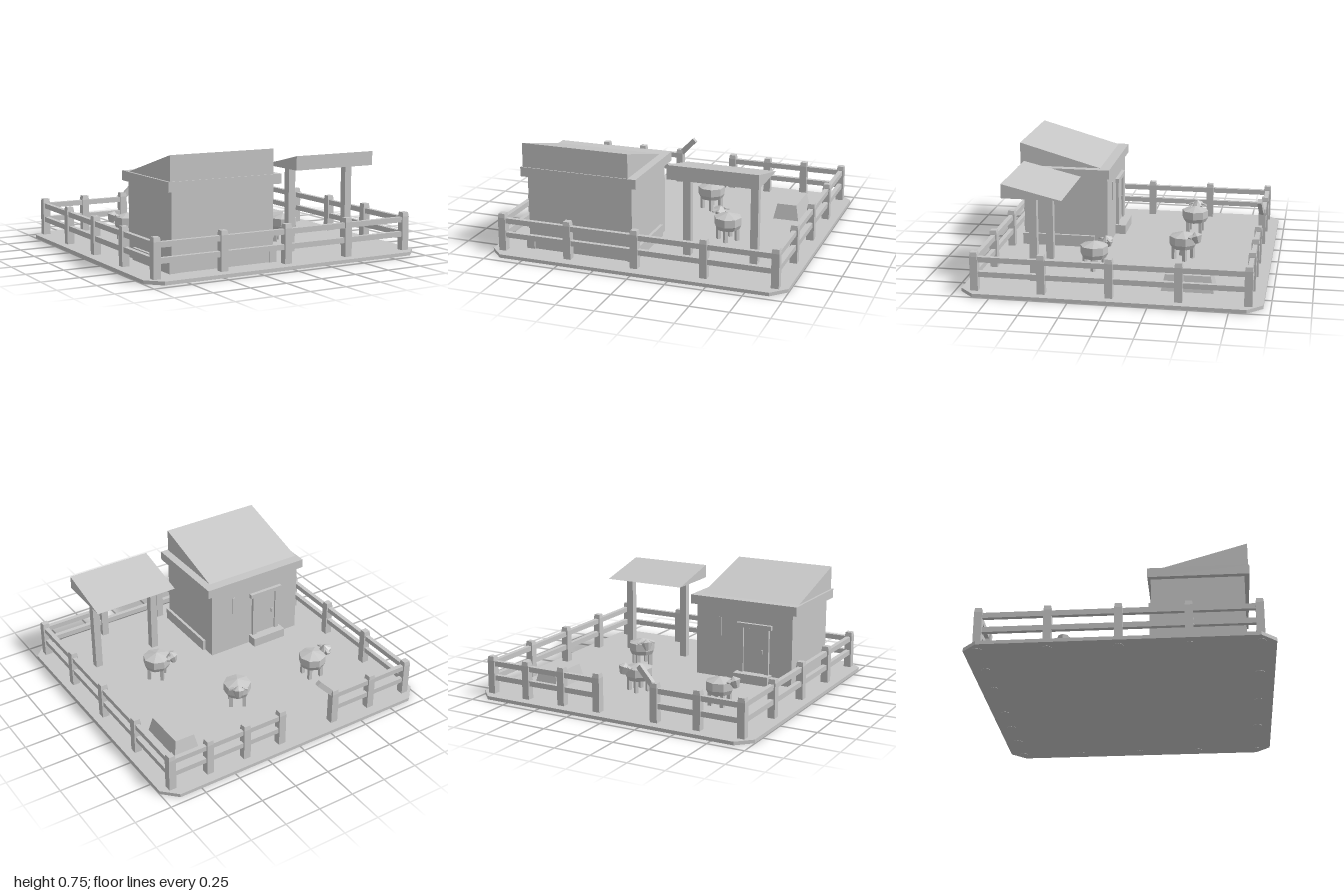
import * as THREE from 'three';

const grey = new THREE.MeshStandardMaterial({ color: 0xc6c6c6, flatShading: true });
grey.name = 'plain grey';

function add(parent, name, geometry, x = 0, y = 0, z = 0) {
  const mesh = new THREE.Mesh(geometry, grey);
  mesh.name = name;
  mesh.position.set(x, y, z);
  parent.add(mesh);
  return mesh;
}

// Box given by its limits on each axis
function block(parent, name, x0, x1, y0, y1, z0, z1) {
  return add(parent, name, new THREE.BoxGeometry(x1 - x0, y1 - y0, z1 - z0),
    (x0 + x1) / 2, (y0 + y1) / 2, (z0 + z1) / 2);
}

// Side profile of [z, y] points swept along x
function prism(parent, name, points, x0, x1) {
  const shape = new THREE.Shape(points.map(p => new THREE.Vector2(...p)));
  const geometry = new THREE.ExtrudeGeometry(shape, { depth: x1 - x0, bevelEnabled: false });
  geometry.rotateY(-Math.PI / 2);
  return add(parent, name, geometry, x1);
}

// Box with a narrower top
function taperedBox(w, h, d, topW, topD) {
  const geometry = new THREE.BoxGeometry(w, h, d);
  const p = geometry.attributes.position;
  for (let i = 0; i < p.count; i++) {
    if (p.getY(i) > 0) p.setXYZ(i, p.getX(i) * topW / w, p.getY(i), p.getZ(i) * topD / d);
  }
  geometry.computeVertexNormals();
  return geometry;
}

function group(parent, name) {
  const g = new THREE.Group();
  g.name = name;
  parent.add(g);
  return g;
}

const TOP = 0.025; // ground level

function buildGround(root) {
  const x = 1, z = 0.955, c = 0.095;
  const shape = new THREE.Shape([
    [-x + c, -z], [x - c, -z], [x, -z + c], [x, z - c],
    [x - c, z], [-x + c, z], [-x, z - c], [-x, -z + c],
  ].map(p => new THREE.Vector2(...p)));
  const geometry = new THREE.ExtrudeGeometry(shape, { depth: TOP - 0.002, bevelEnabled: false });
  geometry.rotateX(-Math.PI / 2);
  add(root, 'ground', geometry, 0, 0.002, 0);
}

function buildFence(root) {
  const fence = group(root, 'fence');
  const front = 0.86, back = -0.865, side = 0.92;
  const posts = [];
  for (const x of [-0.92, -0.46, 0, 0.46, 0.92]) posts.push([x, front]);
  for (const z of [-0.435, 0, 0.43]) posts.push([-side, z], [side, z]);
  for (const x of [-0.92, -0.62, -0.32, 0.1, 0.37, 0.645, 0.92]) posts.push([x, back]);
  for (const [x, z] of posts) {
    block(fence, 'fencePost', x - 0.025, x + 0.025, TOP, 0.25, z - 0.025, z + 0.025);
    add(fence, 'postCap', taperedBox(0.05, 0.028, 0.05, 0.042, 0.042), x, 0.264, z);
    add(fence, 'postFoot', new THREE.CylinderGeometry(0.03, 0.03, 0.01, 8), x, 0.005, z);
  }
  for (const y of [0.115, 0.212]) {
    const h = 0.035, t = 0.015;
    block(fence, 'frontRail', -side, side, y, y + h, front - t, front + t);
    block(fence, 'backRail', -side, -0.32, y, y + h, back - t, back + t);
    block(fence, 'backRail', 0.1, side, y, y + h, back - t, back + t);
    for (const s of [-side, side]) block(fence, 'sideRail', s - t, s + t, y, y + h, back, front);
  }
  // Snapped rail beside the gap
  const broken = add(fence, 'brokenRail', new THREE.BoxGeometry(0.19, 0.036, 0.03), -0.265, 0.297, -0.857);
  broken.rotation.set(0, -0.1, 0.8);
}

function buildHouse(root) {
  const house = group(root, 'house');
  block(house, 'walls', -0.77, -0.05, TOP, 0.55, 0.19, 0.78);
  block(house, 'plinth', -0.79, -0.735, TOP, 0.105, 0.28, 0.79);
  block(house, 'plinth', -0.08, -0.03, TOP, 0.105, 0.28, 0.79);
  block(house, 'eaves', -0.805, -0.01, 0.525, 0.588, 0.17, 0.812);
  prism(house, 'roof', [[0.235, 0.586], [0.805, 0.586], [0.805, 0.748]], -0.79, -0.065);

  // Doorway on the back wall
  block(house, 'door', -0.575, -0.415, 0.09, 0.4, 0.182, 0.192);
  for (const x of [-0.59, -0.4]) block(house, 'doorJamb', x - 0.015, x + 0.015, 0.09, 0.41, 0.17, 0.192);
  block(house, 'doorLintel', -0.625, -0.365, 0.405, 0.435, 0.165, 0.192);
  block(house, 'doorStep', -0.625, -0.365, TOP, 0.09, 0.117, 0.192);
  block(house, 'doorHandle', -0.56, -0.545, 0.23, 0.26, 0.172, 0.184);
  block(house, 'slitWindow', -0.24, -0.22, 0.32, 0.45, 0.182, 0.19);
}

function buildShelter(root) {
  const shelter = group(root, 'shelter');
  for (const x of [0.237, 0.687]) {
    block(shelter, 'shelterPost', x - 0.025, x + 0.025, TOP, 0.6, 0.505, 0.555);
  }
  prism(shelter, 'shelterRoof', [[0.33, 0.585], [0.72, 0.585], [0.72, 0.678]], 0.163, 0.76);
}

// Farm animal with its head towards local -z
function buildSheep(root, x, z, dx, dz) {
  const sheep = group(root, 'sheep');
  sheep.position.set(x, 0, z);
  sheep.rotation.y = Math.atan2(-dx, -dz);
  const lathe = pts => new THREE.LatheGeometry(pts.map(p => new THREE.Vector2(...p)), 8);
  add(sheep, 'body', lathe([[0, 0.105], [0.078, 0.105], [0.093, 0.135], [0.093, 0.188], [0, 0.217]]));
  for (const sx of [-1, 1]) {
    for (const sz of [-1, 1]) {
      const lx = sx * 0.045, lz = sz * 0.045;
      block(sheep, 'leg', lx - 0.012, lx + 0.012, TOP, 0.12, lz - 0.012, lz + 0.012);
    }
    const ear = add(sheep, 'ear', new THREE.BoxGeometry(0.035, 0.01, 0.022), sx * 0.045, 0.205, -0.095);
    ear.rotation.z = -sx * 0.3;
  }
  const head = add(sheep, 'head', lathe([[0, -0.045], [0.018, -0.045], [0.042, 0.005], [0, 0.035]]), 0, 0.2, -0.108);
  head.rotation.x = 0.35;
}

function buildTrough(root) {
  const trough = group(root, 'trough');
  add(trough, 'troughBody', taperedBox(0.18, 0.105, 0.335, 0.136, 0.29), 0.665, TOP + 0.0525, -0.468);
}

export function createModel() {
  const root = new THREE.Group();
  root.name = 'farmyard';
  buildGround(root);
  buildFence(root);
  buildHouse(root);
  buildShelter(root);
  buildTrough(root);
  buildSheep(root, -0.515, -0.37, -1, -0.05);
  buildSheep(root, 0.1, -0.36, 0.5, -0.9);
  buildSheep(root, 0.4, 0.195, -0.085, -0.075);
  return root;
}
